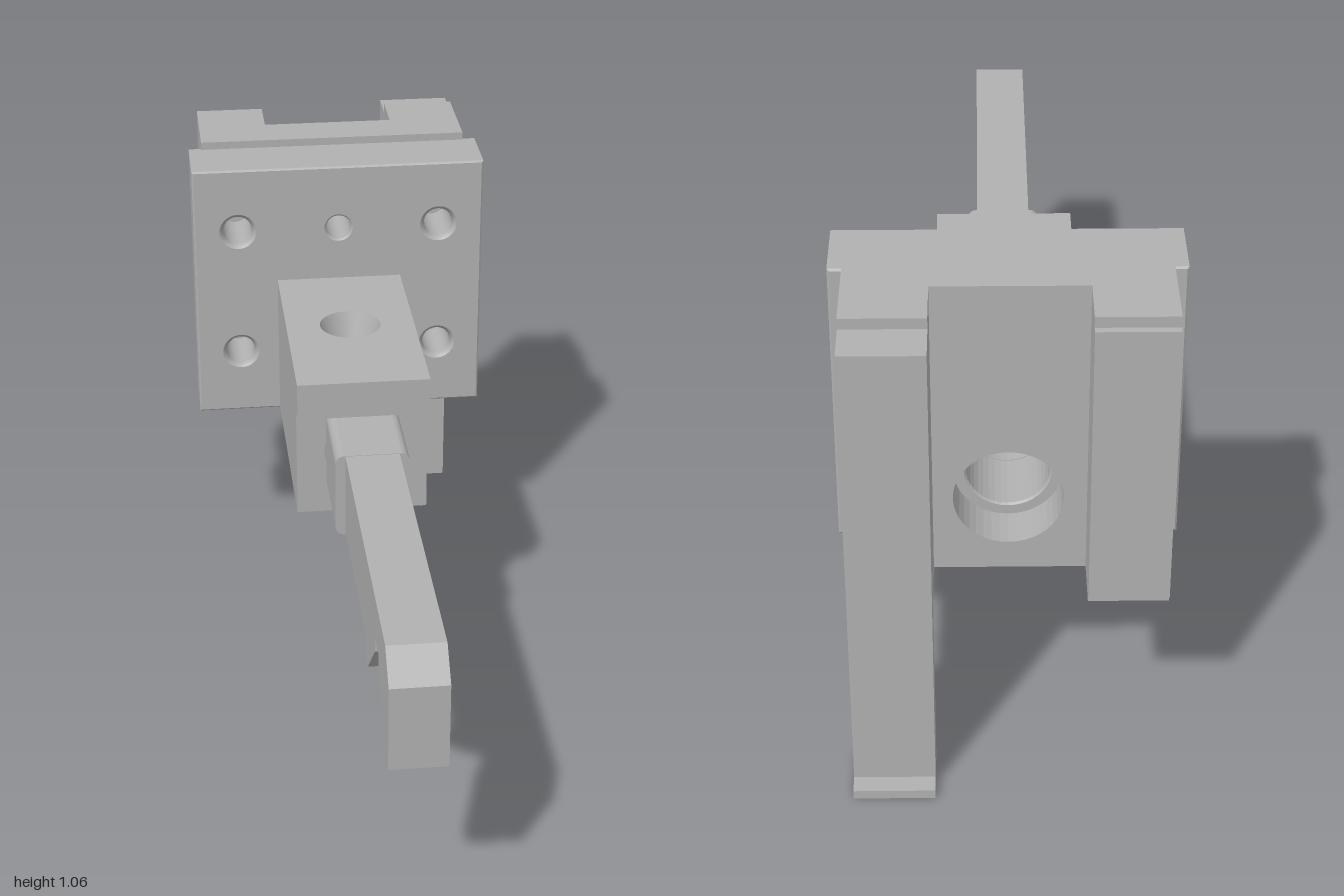
import * as THREE from 'three';

const SEG = 40;

export function createModel() {
  const group = new THREE.Group();
  const grey = new THREE.MeshStandardMaterial({ color: 0xb0b0b0 });
  grey.name = 'machined grey';
  grey.side = THREE.DoubleSide;

  const add = (name, geo) => {
    const mesh = new THREE.Mesh(geo, grey);
    mesh.name = name;
    group.add(mesh);
    return mesh;
  };
  // box given by its limits
  const box = (name, x0, x1, y0, y1, z0, z1) =>
    add(name, new THREE.BoxGeometry(x1 - x0, y1 - y0, z1 - z0)
      .translate((x0 + x1) / 2, (y0 + y1) / 2, (z0 + z1) / 2));
  const polygon = (pts) => new THREE.Shape(pts.map(([x, y]) => new THREE.Vector2(x, y)));
  const rect = (x0, x1, y0, y1) => polygon([[x0, y0], [x1, y0], [x1, y1], [x0, y1]]);
  const drill = (shape, x, y, r) => {
    shape.holes.push(new THREE.Path().absarc(x, y, r, 0, Math.PI * 2, true));
    return shape;
  };
  // extrusion along z between two limits, with an optional edge chamfer
  const extrude = (shape, z0, z1, chamfer = 0) =>
    new THREE.ExtrudeGeometry(shape, {
      depth: z1 - z0 - 2 * chamfer, curveSegments: SEG / 2, bevelEnabled: chamfer > 0,
      bevelSize: chamfer, bevelThickness: chamfer, bevelOffset: -chamfer, bevelSegments: 1,
    }).translate(0, 0, z0 + chamfer);

  // mounting plate with four screw holes, a pin hole and the central bore
  const boreY = 0.573;
  const plate = rect(-0.345, 0.345, 0.415, 1.045);
  const screws = [[-0.24, 0.89], [0.24, 0.89], [-0.24, 0.575], [0.24, 0.575]];
  screws.forEach(([x, y]) => drill(plate, x, y, 0.04));
  drill(plate, 0, 0.89, 0.03);
  drill(plate, 0, boreY, 0.085);
  add('mountingPlate', extrude(plate, -0.667, -0.515, 0.004));

  // countersunk linings of the screw holes
  const lining = [[0.04, -0.519], [0.034, -0.527], [0.034, -0.655]].map(([r, z]) => new THREE.Vector2(r, z));
  screws.forEach(([x, y]) => {
    add('screwHole', new THREE.LatheGeometry(lining, SEG).rotateX(Math.PI / 2).translate(x, y, 0));
  });

  // rear U-shaped block: web with counterbore and two prongs
  add('blockWeb', extrude(drill(rect(-0.155, 0.15, 0.4, 1.063), 0, boreY, 0.11), -0.76, -0.657));
  box('rightProng', -0.315, -0.155, 0.4, 1.063, -0.87, -0.657);
  box('rightProngStep', -0.315, -0.155, 0.42, 1.04, -0.885, -0.87);
  box('leftProng', 0.15, 0.315, 0.4, 1.063, -0.87, -0.657);

  // long leg with a small foot
  box('leg', 0.15, 0.315, 0, 1.04, -0.96, -0.87);
  box('foot', 0.15, 0.315, 0, 0.02, -1, -0.96);

  // guide arm: bored lower body and overhanging top slab
  add('armBody', extrude(drill(rect(-0.148, 0.148, 0.415, 0.675), 0, boreY, 0.085), -0.517, 0));
  const slab = drill(rect(-0.148, 0.148, -0.04, 0.517), 0, 0.255, 0.07);
  add('armTop', extrude(slab, 0.675, 0.76).rotateX(-Math.PI / 2));
  add('taperedHole', new THREE.CylinderGeometry(0.07, 0.04, 0.085, SEG, 1, true)
    .translate(0, 0.7175, -0.255));

  // sliding bar with rounded corners
  const [w, y0, y1, r] = [0.081, 0.476, 0.672, 0.02];
  const bar = new THREE.Shape();
  bar.absarc(w - r, y0 + r, r, -Math.PI / 2, 0);
  bar.absarc(w - r, y1 - r, r, 0, Math.PI / 2);
  bar.absarc(-w + r, y1 - r, r, Math.PI / 2, Math.PI);
  bar.absarc(-w + r, y0 + r, r, Math.PI, Math.PI * 1.5);
  add('slidingBar', extrude(bar, -0.3, 0.21));

  // finger with a notched gripping end, drawn in side profile (z, y)
  const finger = polygon([
    [0.19, 0.478], [0.605, 0.478], [0.605, 0.425], [0.65, 0.425], [0.775, 0.546], [0.775, 0.58],
    [0.832, 0.58], [0.832, 0.546], [0.955, 0.425], [1, 0.425], [1, 0.612], [0.942, 0.671], [0.19, 0.671],
  ]);
  add('finger', extrude(finger, -0.059, 0.059).rotateY(-Math.PI / 2));

  return group;
}
